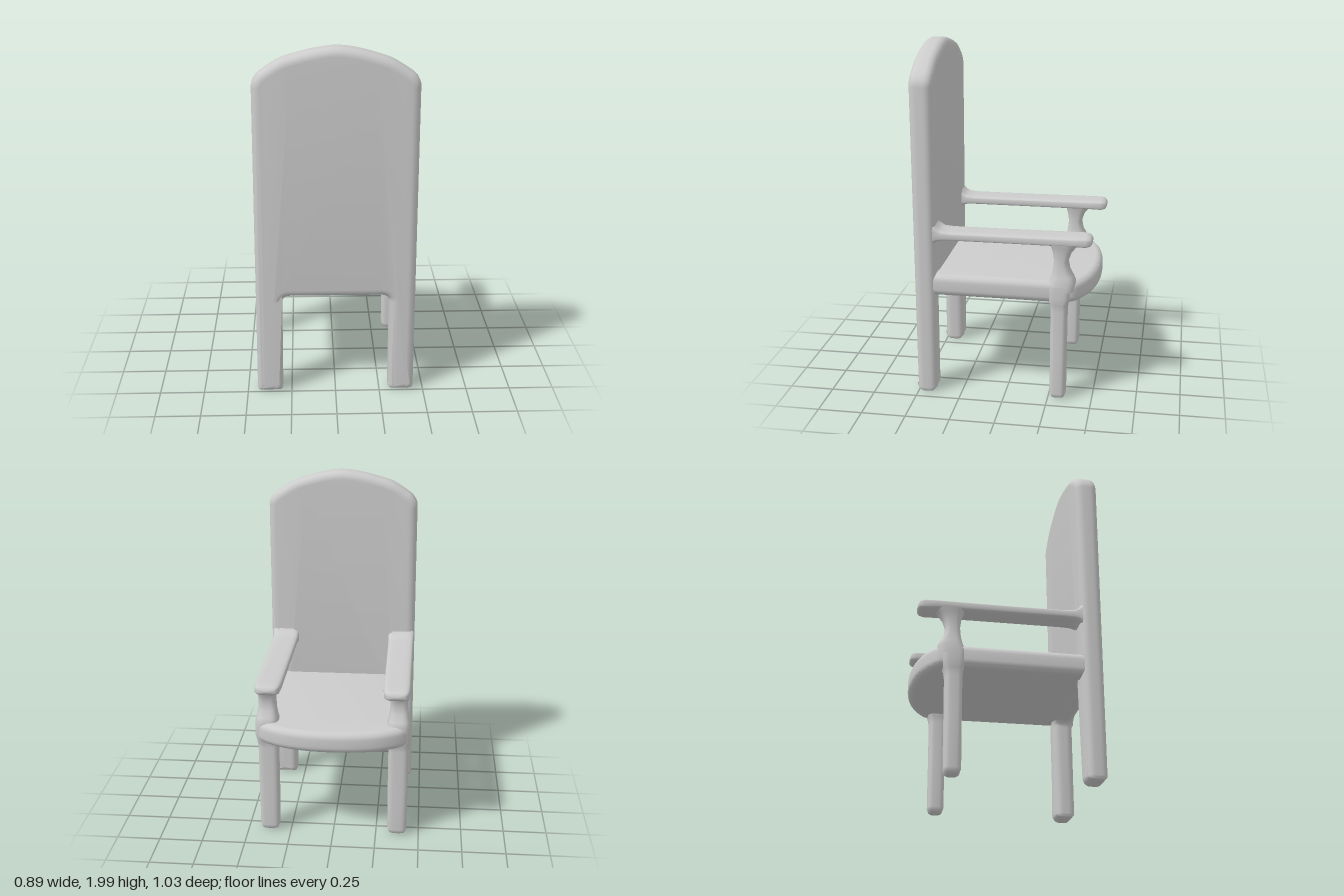
import * as THREE from 'three';
import { toCreasedNormals } from 'three/addons/utils/BufferGeometryUtils.js';

const material = new THREE.MeshStandardMaterial({ color: 0xcccccc });
const SIDES = 28;

// Slab cut from an outline, with rounded rims that stay inside the outline.
function slab(shape, thickness, bevel) {
  const geo = new THREE.ExtrudeGeometry(shape, {
    depth: thickness - 2 * bevel, bevelThickness: bevel, bevelSize: bevel,
    bevelOffset: -bevel, bevelSegments: 6, curveSegments: 10,
  });
  geo.translate(0, 0, bevel);
  return toCreasedNormals(geo, 0.7);
}

// Rounded-rectangle rings along y; each section is [y, centreX, centreZ, radiusX, radiusZ].
function loft(sections, power = 0.55) {
  const pos = [], index = [];
  const bend = (v) => Math.sign(v) * Math.abs(v) ** power;
  for (const [y, cx, cz, rx, rz] of sections) {
    for (let i = 0; i < SIDES; i++) {
      const a = (i / SIDES) * Math.PI * 2;
      pos.push(cx + rx * bend(Math.cos(a)), y, cz + rz * bend(Math.sin(a)));
    }
  }
  for (let j = 0; j < sections.length - 1; j++) {
    for (let i = 0; i < SIDES; i++) {
      const a = j * SIDES + i, b = j * SIDES + (i + 1) % SIDES;
      index.push(a, a + SIDES, b, b, a + SIDES, b + SIDES);
    }
  }
  const geo = new THREE.BufferGeometry();
  geo.setAttribute('position', new THREE.Float32BufferAttribute(pos, 3));
  geo.setIndex(index);
  geo.computeVertexNormals();
  return geo;
}

// Tall back and both rear legs share one arched outline.
function backOutline() {
  const s = new THREE.Shape();
  s.moveTo(0.32, 0.01);
  s.lineTo(0.425, 0.01);
  s.quadraticCurveTo(0.445, 0.01, 0.445, 0.04);
  s.lineTo(0.445, 1.79);
  s.quadraticCurveTo(0.445, 1.835, 0.4, 1.868);
  s.splineThru([[0.3, 1.93], [0.2, 1.965], [0.1, 1.99], [0, 2], [-0.1, 1.988],
    [-0.2, 1.965], [-0.3, 1.932], [-0.4, 1.868]].map(([x, y]) => new THREE.Vector2(x, y)));
  s.quadraticCurveTo(-0.44, 1.83, -0.44, 1.79);
  s.lineTo(-0.445, 0.04);
  s.quadraticCurveTo(-0.445, 0.01, -0.425, 0.01);
  s.lineTo(-0.32, 0.01);
  s.quadraticCurveTo(-0.3, 0.01, -0.3, 0.04);
  s.lineTo(-0.297, 0.56);
  s.quadraticCurveTo(-0.297, 0.603, -0.25, 0.603);
  s.lineTo(0.25, 0.603);
  s.quadraticCurveTo(0.3, 0.603, 0.3, 0.56);
  s.lineTo(0.3, 0.04);
  s.quadraticCurveTo(0.3, 0.01, 0.32, 0.01);
  return s;
}

// Seat seen from above, with a bowed leading edge (shape y is -z).
function seatOutline() {
  const s = new THREE.Shape();
  s.moveTo(-0.43, -0.45);
  s.lineTo(0.43, -0.45);
  s.lineTo(0.435, 0.32);
  s.splineThru([[0.405, 0.4], [0.29, 0.468], [0.15, 0.503], [0, 0.513], [-0.15, 0.503],
    [-0.29, 0.468], [-0.405, 0.4], [-0.435, 0.32]].map(([x, y]) => new THREE.Vector2(x, y)));
  s.lineTo(-0.43, -0.45);
  return s;
}

export function createModel() {
  const group = new THREE.Group();
  const add = (name, geo) => {
    const mesh = new THREE.Mesh(geo, material);
    mesh.name = name;
    group.add(mesh);
  };

  const back = slab(backOutline(), 0.13, 0.045);
  // Rear legs are slightly thinner than the panel above.
  const p = back.attributes.position;
  for (let i = 0; i < p.count; i++) {
    const thin = p.getY(i) < 0.58 ? 0.87 : 1;
    p.setZ(i, 0.45 + (p.getZ(i) - 0.065) * thin);
  }
  add('backAndRearLegs', back);

  const seat = slab(seatOutline(), 0.125, 0.04);
  seat.rotateX(-Math.PI / 2);
  seat.translate(0, 0.602, 0);
  add('seat', seat);

  for (const side of [-1, 1]) {
    const label = side > 0 ? 'left' : 'right';
    const x = side * 0.373;

    // Front leg with rounded foot, swelling where it meets the seat.
    add(label + 'FrontLeg', loft([
      [0.012, x, -0.305, 0, 0],
      [0.013, x, -0.305, 0.03, 0.025],
      [0.022, x, -0.305, 0.047, 0.038],
      [0.045, x, -0.305, 0.056, 0.046],
      [0.3, x, -0.306, 0.058, 0.046],
      [0.55, x, -0.307, 0.058, 0.047],
      [0.59, x, -0.308, 0.064, 0.052],
      [0.63, x, -0.31, 0.072, 0.065],
      [0.7, x, -0.31, 0.07, 0.065],
    ]));

    // Waisted post between seat and armrest.
    add(label + 'ArmPost', loft([
      [0.67, x, -0.315, 0.07, 0.08],
      [0.72, x, -0.325, 0.068, 0.075],
      [0.75, x, -0.325, 0.06, 0.062],
      [0.79, x, -0.318, 0.053, 0.047],
      [0.84, x, -0.316, 0.05, 0.04],
      [0.89, x, -0.321, 0.053, 0.052],
      [0.92, x, -0.328, 0.06, 0.068],
      [0.945, x, -0.332, 0.066, 0.085],
    ], 0.7));

    // Flat armrest with a rounded tip, flaring into the back.
    const tip = side > 0 ? -0.486 : -0.51;
    const ax = side > 0 ? 0.354 : -0.36;
    const arm = loft([
      [tip, ax, -0.955, 0, 0],
      [tip + 0.002, ax, -0.955, 0.045, 0.012],
      [tip + 0.012, ax, -0.957, 0.06, 0.024],
      [tip + 0.035, ax, -0.957, 0.07, 0.03],
      [tip + 0.1, ax, -0.958, 0.074, 0.028],
      [0, ax, -0.957, 0.075, 0.026],
      [0.3, ax, -0.957, 0.076, 0.026],
      [0.355, ax, -0.958, 0.077, 0.03],
      [0.38, ax, -0.962, 0.079, 0.042],
      [0.4, ax, -0.965, 0.082, 0.062],
    ], 0.5);
    arm.rotateX(Math.PI / 2);
    add(label + 'Armrest', arm);
  }
  return group;
}
